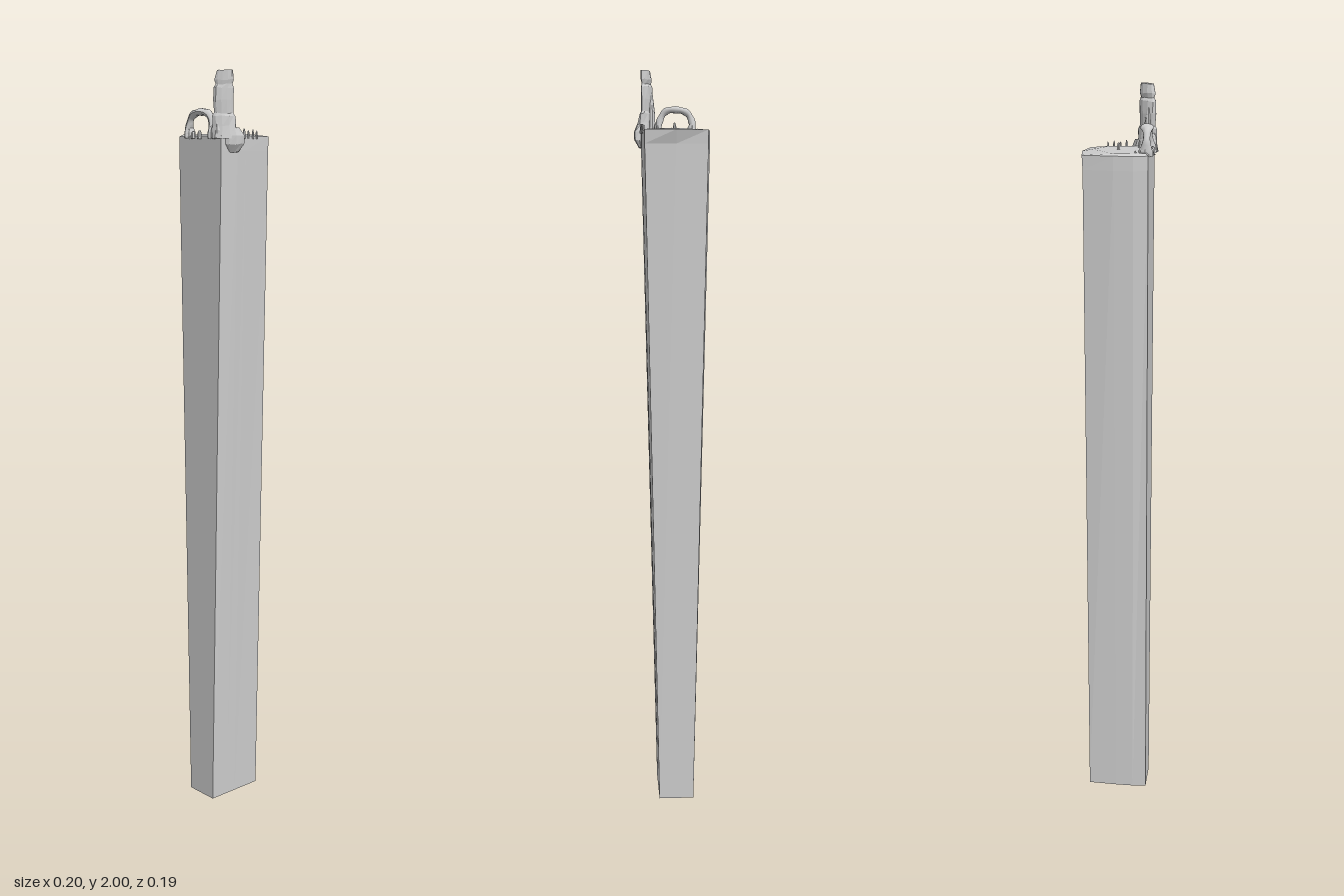
import * as THREE from 'three';

const stone = new THREE.MeshStandardMaterial({ color: 0xcccccc });
stone.name = 'grey stone';

let seed = 7;
const rand = () => {
  seed = (seed * 16807) % 2147483647;
  return seed / 2147483647 - 0.5;
};

// Joins rings of [x, y, z] points into a closed, flat-faced solid (rings run bottom to top).
function loft(rings) {
  const pos = [];
  const tri = (a, b, c) => pos.push(...a, ...b, ...c);
  const middle = (r) => [0, 1, 2].map((k) => r.reduce((s, p) => s + p[k], 0) / r.length);
  const n = rings[0].length;
  const low = rings[0], high = rings[rings.length - 1];
  for (let i = 0; i < n; i++) {
    const j = (i + 1) % n;
    for (let k = 0; k + 1 < rings.length; k++) {
      const a = rings[k], b = rings[k + 1];
      tri(a[i], a[j], b[j]);
      tri(a[i], b[j], b[i]);
    }
    tri(middle(low), low[j], low[i]);
    tri(middle(high), high[i], high[j]);
  }
  const g = new THREE.BufferGeometry();
  g.setAttribute('position', new THREE.Float32BufferAttribute(pos, 3));
  g.computeVertexNormals();
  return g;
}

function add(group, name, geometry) {
  const mesh = new THREE.Mesh(geometry, stone);
  mesh.name = name;
  group.add(mesh);
  return mesh;
}

// Rough upright rock; each level is [y, centreX, centreZ, halfLength, halfWidth].
function crag(group, name, levels, angle, sides = 8, rough = 0.2) {
  const c = Math.cos(angle), s = Math.sin(angle);
  const rings = levels.map(([y, cx, cz, l, w]) => Array.from({ length: sides }, (_, i) => {
    const t = -(i / sides) * Math.PI * 2;
    const r = 1 + rand() * rough;
    const u = Math.cos(t) * l * r, v = Math.sin(t) * w * r;
    return [cx + u * c - v * s, y + rand() * 0.004, cz + u * s + v * c];
  }));
  return add(group, name, loft(rings));
}

export function createModel() {
  const model = new THREE.Group();
  model.name = 'rockPillar';

  // Tapering column: outlines run counter-clockwise seen from above
  const base = [[-0.055, 0.083], [0.04, 0.083], [0.04, 0.03], [0.04, 0], [0.04, -0.083],
    [-0.007, -0.083], [-0.055, -0.083], [-0.058, -0.005], [-0.058, 0.045]];
  const crown = [[-0.09, 0.081], [0.076, 0.081], [0.082, 0.03], [0.081, 0], [0.076, -0.083],
    [-0.006, -0.085], [-0.09, -0.083], [-0.1, -0.005], [-0.1, 0.045]];
  const rim = crown.map(([x, z], i) => (i === 5 ? [x, -0.096] : [x, i === 4 || i === 6 ? -0.085 : z]));
  const plateau = [[-0.082, 0.074], [0.07, 0.074], [0.072, 0.03], [0.072, 0], [0.066, -0.032],
    [-0.006, -0.07], [-0.07, -0.02], [-0.088, -0.003], [-0.088, 0.045]];
  const at = (outline, y) => outline.map(([x, z]) => [x, y, z]);
  add(model, 'column', loft([at(base, 0), at(crown, 1.8), at(rim, 1.836), at(plateau, 1.841)]));

  // Natural arch with thicker, lumpy feet
  const arch = new THREE.Group();
  arch.name = 'arch';
  model.add(arch);
  const path = new THREE.CatmullRomCurve3([
    [-0.057, 1.832, 0.072], [-0.058, 1.862, 0.073], [-0.044, 1.889, 0.073], [-0.012, 1.897, 0.07],
    [0.015, 1.892, 0.071], [0.03, 1.867, 0.071], [0.034, 1.832, 0.072],
  ].map((p) => new THREE.Vector3(...p)));
  const tube = new THREE.TubeGeometry(path, 28, 0.009, 10);
  const p = tube.attributes.position;
  for (let i = 0; i < p.count; i++) {
    const t = Math.floor(i / 11) / 28;
    const mid = path.getPointAt(t);
    const depth = 1.45 + 0.5 * Math.cos(t * Math.PI * 4);
    const lump = 1 + 0.12 * Math.sin(t * 41);
    p.setXYZ(i, mid.x + (p.getX(i) - mid.x) * lump,
      mid.y + (p.getY(i) - mid.y) * lump, mid.z + (p.getZ(i) - mid.z) * depth);
  }
  tube.computeVertexNormals();
  add(arch, 'archSpan', tube);
  for (const [x, w] of [[-0.056, 0.012], [0.036, 0.014]]) {
    crag(arch, 'archFoot', [[1.83, x, 0.071, 0.017, w], [1.846, x, 0.071, 0.016, w * 0.9],
      [1.858, x, 0.072, 0.01, w * 0.6]], Math.PI / 2);
  }

  // Spire: a slab set diagonally on the front left corner
  const spire = new THREE.Group();
  spire.name = 'spire';
  model.add(spire);
  const turn = Math.atan2(-0.055, 0.034);
  crag(spire, 'spireTower', [[1.83, 0.07, 0.062, 0.034, 0.017], [1.86, 0.069, 0.062, 0.031, 0.014],
    [1.885, 0.067, 0.062, 0.029, 0.012], [1.892, 0.066, 0.063, 0.023, 0.009],
    [1.925, 0.065, 0.064, 0.025, 0.012], [1.955, 0.066, 0.063, 0.025, 0.011],
    [1.963, 0.067, 0.063, 0.021, 0.008], [1.975, 0.067, 0.062, 0.024, 0.011],
    [1.997, 0.068, 0.062, 0.02, 0.009]], turn, 10);
  crag(spire, 'sidePinnacle', [[1.83, 0.052, 0.062, 0.012, 0.01], [1.88, 0.051, 0.064, 0.009, 0.008],
    [1.91, 0.052, 0.065, 0.008, 0.006], [1.94, 0.053, 0.066, 0.004, 0.003]], turn);
  crag(spire, 'cornerRock', [[1.796, 0.078, 0.045, 0.016, 0.006], [1.815, 0.083, 0.045, 0.026, 0.014],
    [1.838, 0.083, 0.045, 0.027, 0.015], [1.856, 0.08, 0.045, 0.018, 0.011]], turn, 9);
  crag(spire, 'frontLedge', [[1.83, 0.056, 0.08, 0.017, 0.011], [1.85, 0.056, 0.08, 0.016, 0.01],
    [1.875, 0.055, 0.078, 0.01, 0.007]], 0);

  // Loose stones and small stubs: x, z, radius, height
  const stones = [[-0.006, -0.003, 0.005, 0.02], [-0.07, 0.047, 0.003, 0.008], [-0.03, 0.084, 0.006, 0.01],
    [-0.004, 0.085, 0.006, 0.012], [0.042, 0.046, 0.005, 0.02], [0.078, -0.04, 0.003, 0.011],
    [0.08, -0.025, 0.003, 0.014], [0.081, -0.008, 0.003, 0.012], [0.082, 0.008, 0.004, 0.016]];
  for (const [x, z, r, h] of stones) {
    crag(model, 'looseStone', [[1.83, x, z, r, r], [1.838 + h * 0.6, x, z, r * 0.85, r * 0.85],
      [1.838 + h, x, z, r * 0.4, r * 0.4]], 0, 6);
  }
  return model;
}
